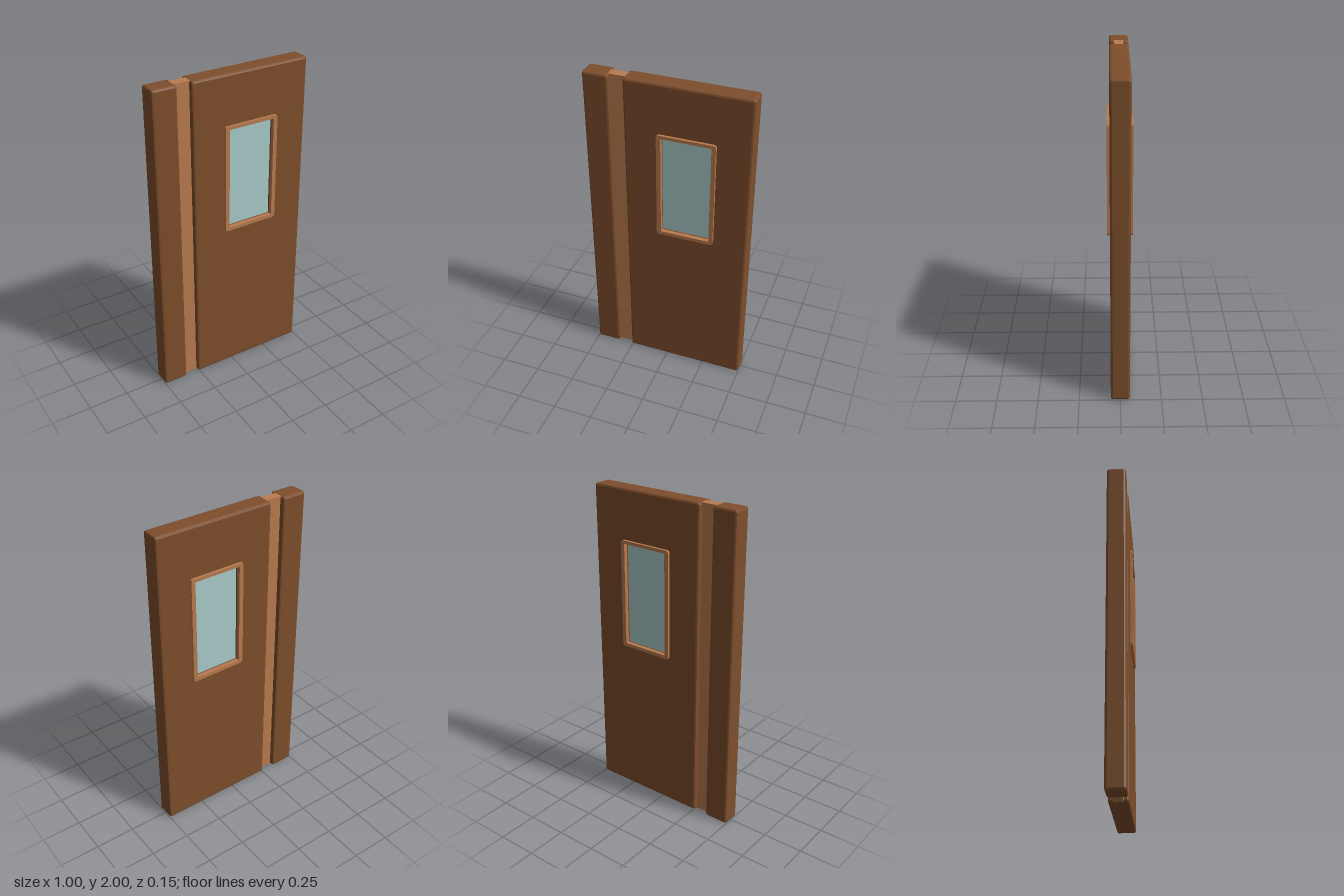
import * as THREE from 'three';

// Rectangle with rounded corners, as a Shape or a hole Path
function roundedRect(target, x0, y0, x1, y1, r) {
  target.moveTo(x0 + r, y0);
  target.lineTo(x1 - r, y0);
  target.quadraticCurveTo(x1, y0, x1, y0 + r);
  target.lineTo(x1, y1 - r);
  target.quadraticCurveTo(x1, y1, x1 - r, y1);
  target.lineTo(x0 + r, y1);
  target.quadraticCurveTo(x0, y1, x0, y1 - r);
  target.lineTo(x0, y0 + r);
  target.quadraticCurveTo(x0, y0, x0 + r, y0);
  return target;
}

function rect(target, x0, y0, x1, y1) {
  target.moveTo(x0, y0);
  target.lineTo(x1, y0);
  target.lineTo(x1, y1);
  target.lineTo(x0, y1);
  target.closePath();
  return target;
}

// Slab centred on z = 0 with softened edges
function slab(shape, halfDepth, bevel) {
  const geometry = new THREE.ExtrudeGeometry(shape, {
    depth: 2 * (halfDepth - bevel),
    bevelEnabled: bevel > 0,
    bevelThickness: bevel,
    bevelSize: bevel,
    bevelOffset: -bevel,
    bevelSegments: 2,
    curveSegments: 2,
  });
  return geometry.translate(0, 0, -(halfDepth - bevel));
}

export function createModel() {
  const wood = new THREE.MeshStandardMaterial({ color: 0x7e4e2c });
  wood.name = 'dark wood';
  const trim = new THREE.MeshStandardMaterial({ color: 0xb97b4f });
  trim.name = 'light wood';
  const pane = new THREE.MeshStandardMaterial({ color: 0xa9cbca });
  pane.name = 'pale glass';

  const door = new THREE.Group();
  door.name = 'door';
  const add = (name, geometry, material) => {
    const mesh = new THREE.Mesh(geometry, material);
    mesh.name = name;
    door.add(mesh);
    return mesh;
  };

  // Opening of the window
  const wx0 = -0.03, wx1 = 0.27, wy0 = 1.034, wy1 = 1.674;

  // Wide panel with the window cut out
  const panel = roundedRect(new THREE.Shape(), -0.258, 0, 0.5, 2, 0.014);
  panel.holes.push(rect(new THREE.Path(), wx0, wy0, wx1, wy1));
  add('mainPanel', slab(panel, 0.058, 0.013), wood);

  // Narrow panel beside it
  const narrow = roundedRect(new THREE.Shape(), -0.5, 0, -0.345, 2, 0.014);
  add('sidePanel', slab(narrow, 0.058, 0.013), wood);

  // Recessed strip joining the two panels
  const strip = new THREE.BoxGeometry(0.11, 1.996, 0.057).translate(-0.3015, 1, 0);
  add('grooveStrip', strip, trim);

  // Window frame, standing proud on both faces
  const frame = roundedRect(new THREE.Shape(), -0.057, 1.012, 0.296, 1.694, 0.016);
  frame.holes.push(rect(new THREE.Path(), wx0, wy0, wx1, wy1));
  for (const side of [1, -1]) {
    const mesh = add(side > 0 ? 'frontWindowFrame' : 'backWindowFrame', slab(frame, 0.012, 0), trim);
    mesh.position.z = side * 0.062;
  }

  // Glass set back inside the frame
  const glass = new THREE.BoxGeometry(wx1 - wx0 + 0.004, wy1 - wy0 + 0.004, 0.08);
  glass.translate((wx0 + wx1) / 2, (wy0 + wy1) / 2, 0);
  add('windowGlass', glass, pane);

  return door;
}
